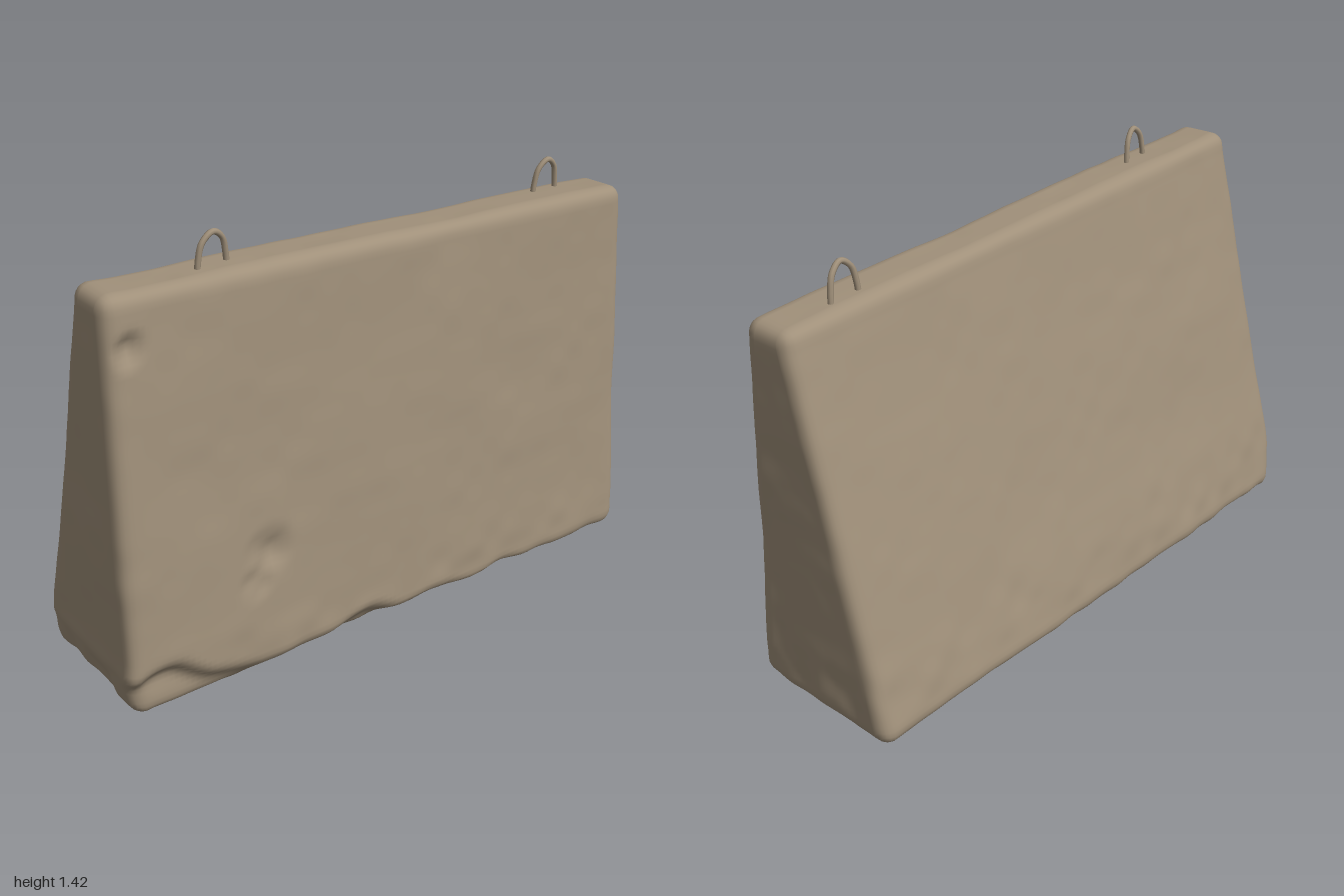
import * as THREE from 'three';
import { mergeVertices } from 'three/addons/utils/BufferGeometryUtils.js';

const { lerp, clamp, smoothstep } = THREE.MathUtils;

// Seeded lattice value and smooth 3D noise in -1..1
function hash(i, j, k) {
  const s = Math.sin(i * 127.1 + j * 311.7 + k * 74.7) * 43758.5453;
  return (s - Math.floor(s)) * 2 - 1;
}
function noise(x, y, z) {
  const i = Math.floor(x), j = Math.floor(y), k = Math.floor(z);
  const fade = (t) => t * t * (3 - 2 * t);
  const u = fade(x - i), v = fade(y - j), w = fade(z - k);
  const row = (b, c) => lerp(hash(i, b, c), hash(i + 1, b, c), u);
  const layer = (c) => lerp(row(j, c), row(j + 1, c), v);
  return lerp(layer(k), layer(k + 1), w);
}

// Weathered, tapered slab with rounded edges
function slabGeometry() {
  const half = new THREE.Vector3(1, 0.66, 0.27);
  const r = 0.045;
  const inner = half.clone().subScalar(r);
  const box = new THREE.BoxGeometry(2, 1.32, 0.54, 110, 74, 32);
  box.deleteAttribute('normal');
  box.deleteAttribute('uv');
  const geo = mergeVertices(box, 1e-4);
  const pos = geo.attributes.position;
  const p = new THREE.Vector3(), c = new THREE.Vector3(), d = new THREE.Vector3();

  // Shallow pits on the front face: x, y, radius, depth
  const pits = [[-0.5, 0.43, 0.1, 0.018], [-0.55, 0.34, 0.07, 0.014], [-0.88, 1.17, 0.06, 0.025]];

  for (let n = 0; n < pos.count; n++) {
    p.fromBufferAttribute(pos, n);
    c.copy(p).clamp(inner.clone().negate(), inner);
    d.copy(p).sub(c).normalize();

    // Taper the core, then add the rounded skin
    const u = (c.x / inner.x + 1) / 2, v = (c.y / inner.y + 1) / 2, w = (c.z / inner.z + 1) / 2;
    const top = lerp(1.325, 1.252, u);
    p.set(
      lerp(lerp(-1.005, -0.945, v) + r, lerp(0.978, 0.995, v) - r, u),
      lerp(0.01 + r, top - r, v),
      lerp(lerp(-0.282, -0.008, v) + r, lerp(0.276, 0.176, v) - r, w)
    ).addScaledVector(d, r);

    // Uneven cast surface, rougher toward the base
    const low = 1 - smoothstep(p.y, 0.05, 0.3);
    const bump = 0.005 * noise(p.x * 4, p.y * 4, p.z * 4)
      + (0.0015 + 0.006 * low) * noise(p.x * 13, p.y * 13, p.z * 13);
    const { x, y, z } = p;
    p.addScaledVector(d, bump);

    // Broken lower front edge, deepest at one end
    const chip = 0.1 + 0.09 * smoothstep(-x, 0.5, 0.95) - 0.06 * smoothstep(x, 0.1, 0.5)
      + 0.04 * noise(x * 7, 3, 5);
    const front = smoothstep(z, 0.05, 0.22);
    p.z -= front * 0.045 * smoothstep(chip - y, 0, 0.07);
    p.x += smoothstep(-x, 0.8, 1) * 0.045 * clamp(1 - y / 0.17, 0, 1);

    // Pits
    for (const [px, py, size, depth] of pits) {
      const q = Math.hypot(x - px, y - py) / size;
      if (z > 0.1 && q < 1) p.z -= depth * (1 - q * q) ** 2 * (1 + 0.5 * noise(x * 25, y * 25, 1));
    }
    p.y = Math.max(p.y, 0);
    pos.setXYZ(n, p.x, p.y, p.z);
  }
  geo.computeVertexNormals();
  return geo;
}

// Bent-bar lifting loop standing on the top edge
function liftingLoop(name, x, base, z, lean, material) {
  const points = [
    [-0.054, -0.04, 0], [-0.05, 0.02, 0.002], [-0.036, 0.072, 0.006], [0, 0.098, 0.01],
    [0.036, 0.072, 0.006], [0.05, 0.02, 0.002], [0.054, -0.04, 0],
  ].map((a) => new THREE.Vector3(...a));
  const loop = new THREE.Mesh(
    new THREE.TubeGeometry(new THREE.CatmullRomCurve3(points), 36, 0.009, 8), material);
  loop.name = name;
  loop.position.set(x, base, z);
  loop.rotation.y = lean;
  return loop;
}

export function createModel() {
  const concrete = new THREE.MeshStandardMaterial({ color: 0xa0907a });
  concrete.name = 'concrete';

  const group = new THREE.Group();
  group.name = 'concreteBarrier';

  const slab = new THREE.Mesh(slabGeometry(), concrete);
  slab.name = 'slab';
  group.add(slab);

  group.add(liftingLoop('rightLiftingLoop', -0.56, 1.313, 0.09, 0.15, concrete));
  group.add(liftingLoop('leftLiftingLoop', 0.735, 1.265, 0.056, 0.08, concrete));
  return group;
}
